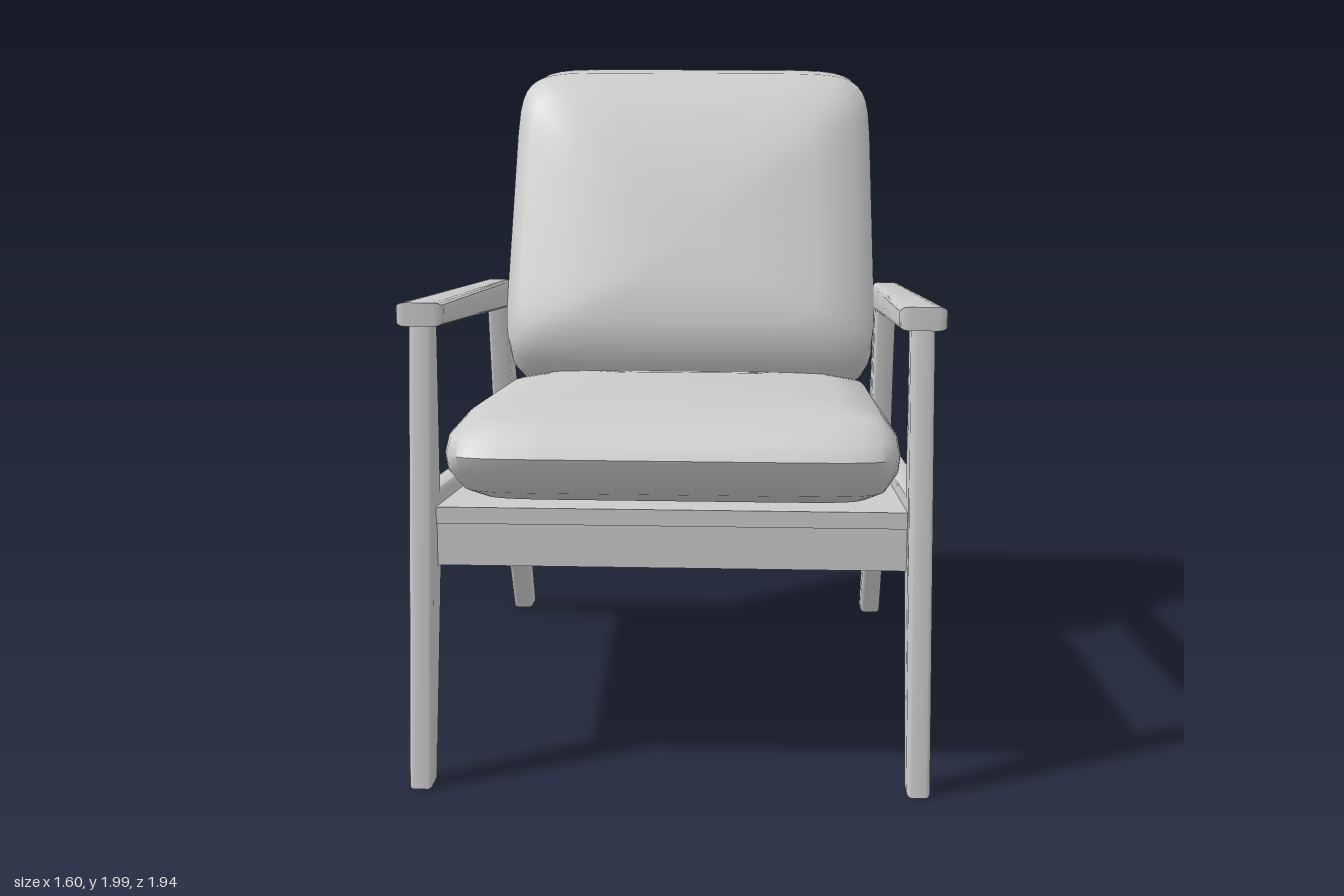
import * as THREE from 'three';
import { toCreasedNormals } from 'three/addons/utils/BufferGeometryUtils.js';

const lerp = THREE.MathUtils.lerp;
const grey = new THREE.MeshStandardMaterial({ color: 0xcccccc });
grey.name = 'light grey';

// local frames: x across, v along the surface, h out of the surface
const seatFrame = (x, v, h) => new THREE.Vector3(x, 0.79 - 0.097 * v + h, -v);
const backFrame = (x, v, h) =>
  new THREE.Vector3(x, 0.74 + 0.915 * v + 0.404 * h, -0.5 - 0.404 * v + 0.915 * h);

function addMesh(group, name, geometry) {
  const mesh = new THREE.Mesh(geometry, grey);
  mesh.name = name;
  group.add(mesh);
}

// stuffed cushion: squarish rings [h, v0, v1, halfWidth0, halfWidth1], capped at both ends
function cushion(rings, frame, sides = 40) {
  const pos = [], index = [];
  const power = (t) => Math.sign(t) * Math.abs(t) ** 0.22;
  for (const [h, v0, v1, w0, w1] of rings) {
    for (let i = 0; i < sides; i++) {
      const a = ((i + 0.5) / sides) * Math.PI * 2;
      const s = (power(Math.sin(a)) + 1) / 2;
      pos.push(...frame(power(Math.cos(a)) * lerp(w0, w1, s), lerp(v0, v1, s), h).toArray());
    }
  }
  const last = rings.length - 1;
  for (const r of [rings[0], rings[last]]) {
    pos.push(...frame(0, (r[1] + r[2]) / 2, r[0]).toArray());
  }
  const bottom = rings.length * sides, top = bottom + 1;
  for (let i = 0; i < sides; i++) {
    const j = (i + 1) % sides;
    for (let r = 0; r < last; r++) {
      const a = r * sides + i, b = r * sides + j;
      index.push(a, b, b + sides, a, b + sides, a + sides);
    }
    index.push(bottom, j, i, top, last * sides + i, last * sides + j);
  }
  const g = new THREE.BufferGeometry();
  g.setAttribute('position', new THREE.Float32BufferAttribute(pos, 3));
  g.setIndex(index);
  return toCreasedNormals(g, 0.85);
}

// flat tapered board
function board(h0, h1, v0, v1, w0, w1, frame) {
  const g = new THREE.BoxGeometry(1, 1, 1);
  const p = g.attributes.position;
  for (let i = 0; i < p.count; i++) {
    const s = p.getY(i) + 0.5;
    const q = frame(p.getX(i) * 2 * lerp(w0, w1, s), lerp(v0, v1, s), lerp(h0, h1, p.getZ(i) + 0.5));
    p.setXYZ(i, q.x, q.y, q.z);
  }
  g.computeVertexNormals();
  return g;
}

// side member cut from a [z, y] outline; the two sides converge toward the back
function sidePart(outline, side, widthAt) {
  const shape = new THREE.Shape(outline.map(([z, y]) => new THREE.Vector2(-z, y)));
  const g = new THREE.ExtrudeGeometry(shape, {
    depth: 0.6, bevelThickness: 0.2, bevelSize: 0.015, bevelOffset: -0.015, bevelSegments: 3,
  });
  g.translate(0, 0, -0.3);
  g.rotateY(Math.PI / 2);
  const p = g.attributes.position;
  for (let i = 0; i < p.count; i++) {
    const z = p.getZ(i);
    p.setX(i, side * (0.735 + 0.052 * (z - 0.93)) + p.getX(i) * widthAt(z));
  }
  return toCreasedNormals(g, 0.6);
}

export function createModel() {
  const chair = new THREE.Group();
  chair.name = 'armchair';

  // legs and side rail in one outline, with an armrest on top
  const legs = [
    [0.97, 0], [0.83, 1.4], [0.75, 1.4], [0.75, 0.87], [-0.5, 0.74], [-0.41, 1.23],
    [-0.47, 1.27], [-0.59, 0.95], [-0.93, 0], [-0.855, 0], [-0.6, 0.52], [0.76, 0.65], [0.89, 0],
  ];
  const arm = [
    [0.845, 1.375], [0.845, 1.445], [-0.43, 1.305], [-0.475, 1.28], [-0.49, 1.24], [-0.41, 1.21],
  ];
  for (const side of [1, -1]) {
    const name = side > 0 ? 'left' : 'right';
    addMesh(chair, name + 'LegsAndRail', sidePart(legs, side, () => 0.07));
    addMesh(chair, name + 'Armrest', sidePart(arm, side, (z) => 0.106 + 0.04 * z));
  }

  // front rail, seat board and back board
  const rail = new THREE.BoxGeometry(1.4, 0.13, 0.06);
  rail.translate(0, 0.715, 0.79);
  addMesh(chair, 'frontRail', rail);
  addMesh(chair, 'seatBoard', board(-0.09, -0.04, -0.83, 0.5, 0.7, 0.62, seatFrame));
  addMesh(chair, 'backBoard', board(-0.03, 0.005, -0.03, 1.04, 0.61, 0.42, backFrame));

  // seat cushion
  addMesh(chair, 'seatCushion', cushion([
    [-0.035, -0.7, 0.44, 0.6, 0.55],
    [0.0, -0.8, 0.48, 0.65, 0.59],
    [0.07, -0.9, 0.49, 0.685, 0.61],
    [0.12, -0.92, 0.48, 0.69, 0.61],
    [0.17, -0.89, 0.47, 0.68, 0.61],
    [0.225, -0.78, 0.44, 0.63, 0.58],
    [0.25, -0.6, 0.36, 0.5, 0.47],
    [0.262, -0.35, 0.2, 0.26, 0.25],
  ], seatFrame));

  // back cushion
  addMesh(chair, 'backCushion', cushion([
    [0.0, 0.24, 1.17, 0.53, 0.46],
    [0.03, 0.2, 1.215, 0.56, 0.51],
    [0.17, 0.135, 1.255, 0.62, 0.57],
    [0.24, 0.14, 1.265, 0.63, 0.59],
    [0.33, 0.18, 1.22, 0.63, 0.6],
    [0.385, 0.24, 1.14, 0.58, 0.55],
    [0.415, 0.32, 0.98, 0.44, 0.42],
    [0.427, 0.45, 0.8, 0.22, 0.2],
  ], backFrame));

  return chair;
}
